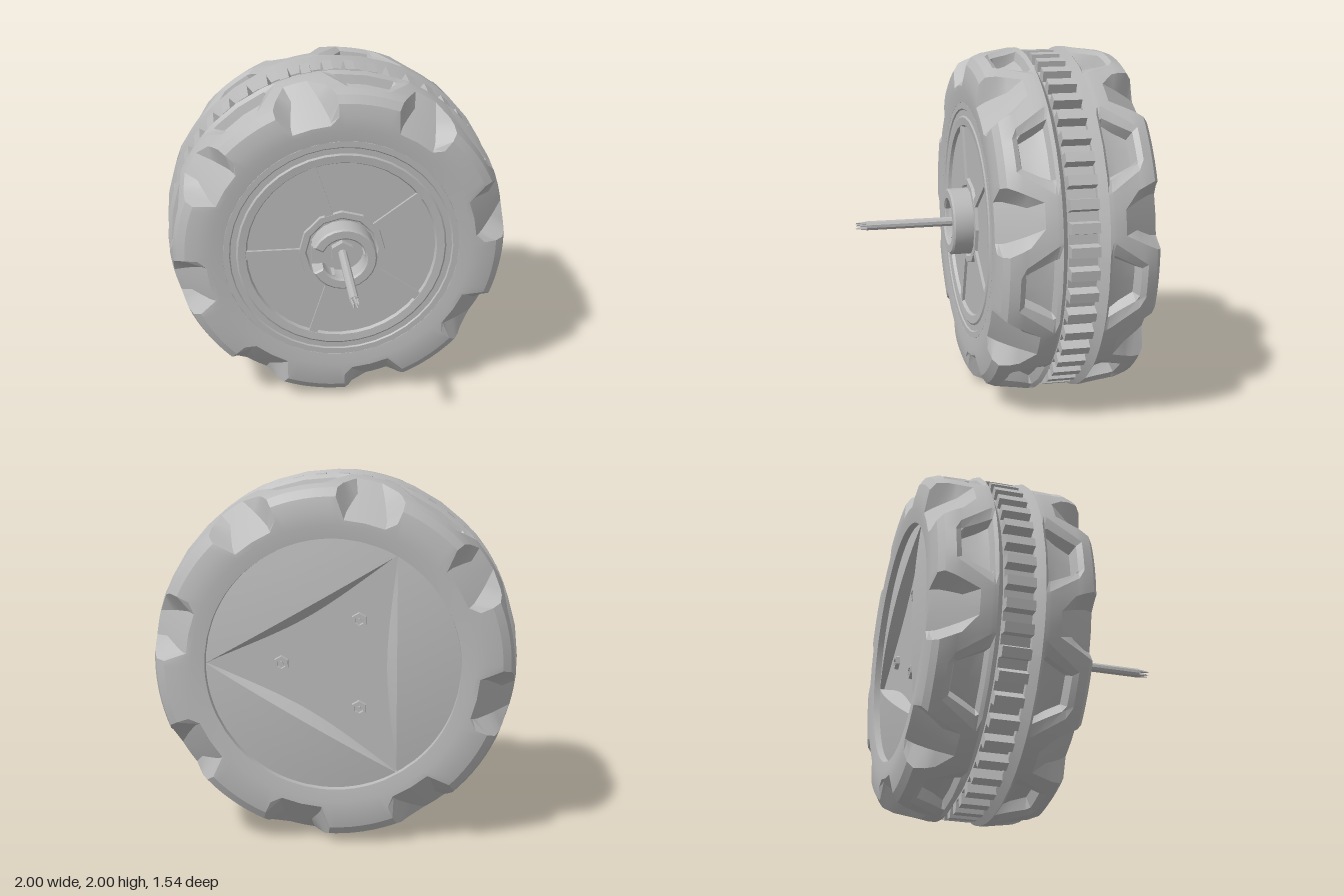
import * as THREE from 'three';
import { toCreasedNormals } from 'three/addons/utils/BufferGeometryUtils.js';

const TAU = Math.PI * 2;
const { lerp, clamp } = THREE.MathUtils;

// Skin over rows of [x, y, z] points
function gridGeometry(rows) {
  const n = rows[0].length, index = [];
  for (let i = 0; i < rows.length - 1; i++) {
    for (let j = 0; j < n - 1; j++) {
      const a = i * n + j, b = a + n;
      index.push(a, b, b + 1, a, b + 1, a + 1);
    }
  }
  const g = new THREE.BufferGeometry();
  g.setAttribute('position', new THREE.Float32BufferAttribute(rows.flat(2), 3));
  g.setIndex(index);
  return toCreasedNormals(g, 0.35);
}

// Tyre half: [radius, z, bevel depth, pocket depth] profile with notched shoulders
function tyreGeometry(phase) {
  const profile = [
    [0.685, 0.05, 0, 0], [0.69, 0.122, 0, 0], [0.76, 0.13, 0, 0], [0.84, 0.13, 0, 0],
    [0.91, 0.115, 0, 0], [0.955, 0.085, 0, 0], [0.974, 0.03, 0, 0], [0.977, 0, 0.02, 0.02],
    [0.98, -0.02, 0.022, 0.09], [0.99, -0.1, 0.025, 0.085], [1, -0.16, 0.025, 0.07],
    [1, -0.175, 0.02, 0.02], [1, -0.192, 0, 0], [0.93, -0.232, 0, 0], [0.84, -0.232, 0, 0],
  ];
  const half = TAU / 16;
  const rows = profile.map(([r, z, bevel, pocket]) => {
    const notch = lerp(0.1, 0.2, clamp((z + 0.1) / 0.2, 0, 1));
    const t0 = clamp((z + 0.17) / 0.2, 0, 1);
    const outer = half - lerp(0.26, 0.12, t0);
    const inner = half - lerp(0.19, 0.08, t0);
    const floor = z > -0.1 ? Math.min(r, 0.99 - 0.2 * (z + 0.1) / 0.23) : r;
    // [angle from notch centre, radius] over half a lug
    const cols = [
      [0, floor], [notch - 0.06, floor], [notch, r], [(notch + outer) / 2, r],
      [outer, r], [inner, r - bevel], [inner + 0.02, r - pocket], [half, r - pocket],
    ];
    const lug = [...cols.slice(1).reverse().map(([a, q]) => [-a, q]), ...cols.slice(0, -1)];
    const row = [];
    for (let k = 0; k < 8; k++) {
      for (const [a, q] of lug) {
        const t = phase + k * TAU / 8 + a;
        row.push([q * Math.cos(t), q * Math.sin(t), z]);
      }
    }
    row.push(row[0]);
    return row;
  });
  return gridGeometry(rows);
}

// Cylinder along z between two depths
function rod(r, z0, z1, sides, rEnd = r) {
  const g = new THREE.CylinderGeometry(rEnd, r, z1 - z0, sides);
  g.rotateX(Math.PI / 2);
  g.translate(0, 0, (z0 + z1) / 2);
  return toCreasedNormals(g, 0.5);
}

function ring(points, sides) {
  const g = new THREE.LatheGeometry(points.map(p => new THREE.Vector2(...p)), sides);
  g.rotateX(Math.PI / 2);
  return toCreasedNormals(g, 0.4);
}

export function createModel() {
  const model = new THREE.Group();
  const wheel = new THREE.Group();
  wheel.name = 'wheel';
  wheel.position.y = 1;
  model.add(wheel);

  const grey = new THREE.MeshStandardMaterial({ color: 0xbababa });
  grey.name = 'grey';
  const add = (name, geometry) => {
    const m = new THREE.Mesh(geometry, grey);
    m.name = name;
    wheel.add(m);
    return m;
  };

  // Two mirrored tyre halves
  const phase = 12.5 * Math.PI / 180;
  add('frontTyre', tyreGeometry(phase));
  const back = add('backTyre', tyreGeometry(-phase));
  back.rotation.x = Math.PI;
  back.position.z = -0.64;

  // Toothed ring between the tyres
  const teeth = 48, outline = [];
  for (let i = 0; i < teeth; i++) {
    for (const [f, r] of [[0, 0.925], [0.07, 0.985], [0.5, 0.985], [0.57, 0.925]]) {
      const a = (i + f) * TAU / teeth;
      outline.push(new THREE.Vector2(r * Math.cos(a), r * Math.sin(a)));
    }
  }
  const gear = new THREE.ExtrudeGeometry(new THREE.Shape(outline), { depth: 0.16, bevelEnabled: false });
  gear.translate(0, 0, -0.4);
  add('toothedRing', gear);

  // Core: its ends are the front panel floor and the back recess floor
  add('core', rod(0.7, -0.7, 0.1, 64));
  add('innerDrum', rod(0.86, -0.6, -0.04, 64));

  // Shallow stepped front rim, hub collar and five spokes
  add('rim', ring([
    [0.7, 0.05], [0.69, 0.122], [0.655, 0.122], [0.648, 0.115], [0.615, 0.115],
    [0.605, 0.122], [0.56, 0.118], [0.548, 0.095],
  ], 40));
  add('hubCollar', ring([[0.255, 0.095], [0.25, 0.118], [0.215, 0.118], [0.205, 0.108], [0, 0.108]], 12));
  for (let i = 0; i < 5; i++) {
    const spoke = new THREE.BoxGeometry(0.34, 0.05, 0.03);
    spoke.translate(0.4, 0, 0.101);
    spoke.rotateZ(Math.PI + i * TAU / 5);
    add('spoke', spoke);
  }

  // C-shaped boss, open towards the side
  const open = 153 * Math.PI / 180;
  const boss = new THREE.Shape();
  boss.absarc(0, 0, 0.183, -open, open, false);
  boss.absarc(0, 0, 0.138, open, -open, true);
  const bossGeo = new THREE.ExtrudeGeometry(boss, {
    depth: 0.125, bevelThickness: 0.01, bevelSize: 0.01, bevelSegments: 1, curveSegments: 10,
  });
  bossGeo.translate(0, 0, 0.095);
  add('boss', toCreasedNormals(bossGeo, 0.5));
  const key = new THREE.BoxGeometry(0.09, 0.11, 0.06);
  key.translate(-0.135, 0, 0.12);
  add('bossKey', key);

  // Axle with a pronged tip
  add('axleCollar', rod(0.07, 0.09, 0.15, 6));
  add('axle', rod(0.027, 0.1, 0.71, 10));
  for (let i = 0; i < 5; i++) {
    const prong = rod(0.011, 0.69, 0.77, 5, 0.002);
    const a = Math.PI / 2 + i * TAU / 5;
    prong.translate(0.017 * Math.cos(a), 0.017 * Math.sin(a), 0);
    add('axleProng', prong);
  }

  // Three back cover segments around a triangular recess, with pegs and screws
  const R = 0.69;
  const domeZ = (x, y) => -0.775 + 0.05 * (x * x + y * y) / (R * R);
  const onCircle = a => [R * Math.cos(a), R * Math.sin(a)];
  for (let k = 0; k < 3; k++) {
    const a0 = k * TAU / 3, a1 = a0 + TAU / 3;
    const p = onCircle(a0), q = onCircle(a1);
    const rows = [[], [], [], [], [], []];
    for (let j = 20; j >= 0; j--) {
      const u = j / 20, arc = onCircle(lerp(a0, a1, u));
      const cx = lerp(p[0], q[0], u), cy = lerp(p[1], q[1], u);
      const inset = 1 - 0.16 * Math.sin(Math.PI * u);
      rows[0].push([cx * inset, cy * inset, -0.699]);
      for (let i = 0; i < 5; i++) {
        const x = lerp(cx, arc[0], i / 4), y = lerp(cy, arc[1], i / 4);
        rows[i + 1].push([x, y, domeZ(x, y)]);
      }
    }
    add('backCover', gridGeometry(rows));

    const c = Math.cos(a0), s = Math.sin(a0);
    const peg = rod(0.025, 0.09, 0.2, 3);
    peg.translate(0.14 * c, 0.14 * s, 0);
    add('frontPeg', peg);

    const socket = ring([[0.045, 0], [0.042, 0.025], [0.026, 0.025], [0.024, 0]], 6);
    socket.rotateX(Math.PI);
    socket.translate(0.28 * c, 0.28 * s, -0.699);
    add('screwSocket', socket);
    const screw = rod(0.012, -0.715, -0.69, 5);
    screw.translate(0.28 * c, 0.28 * s, 0);
    add('screw', screw);
  }

  return model;
}
